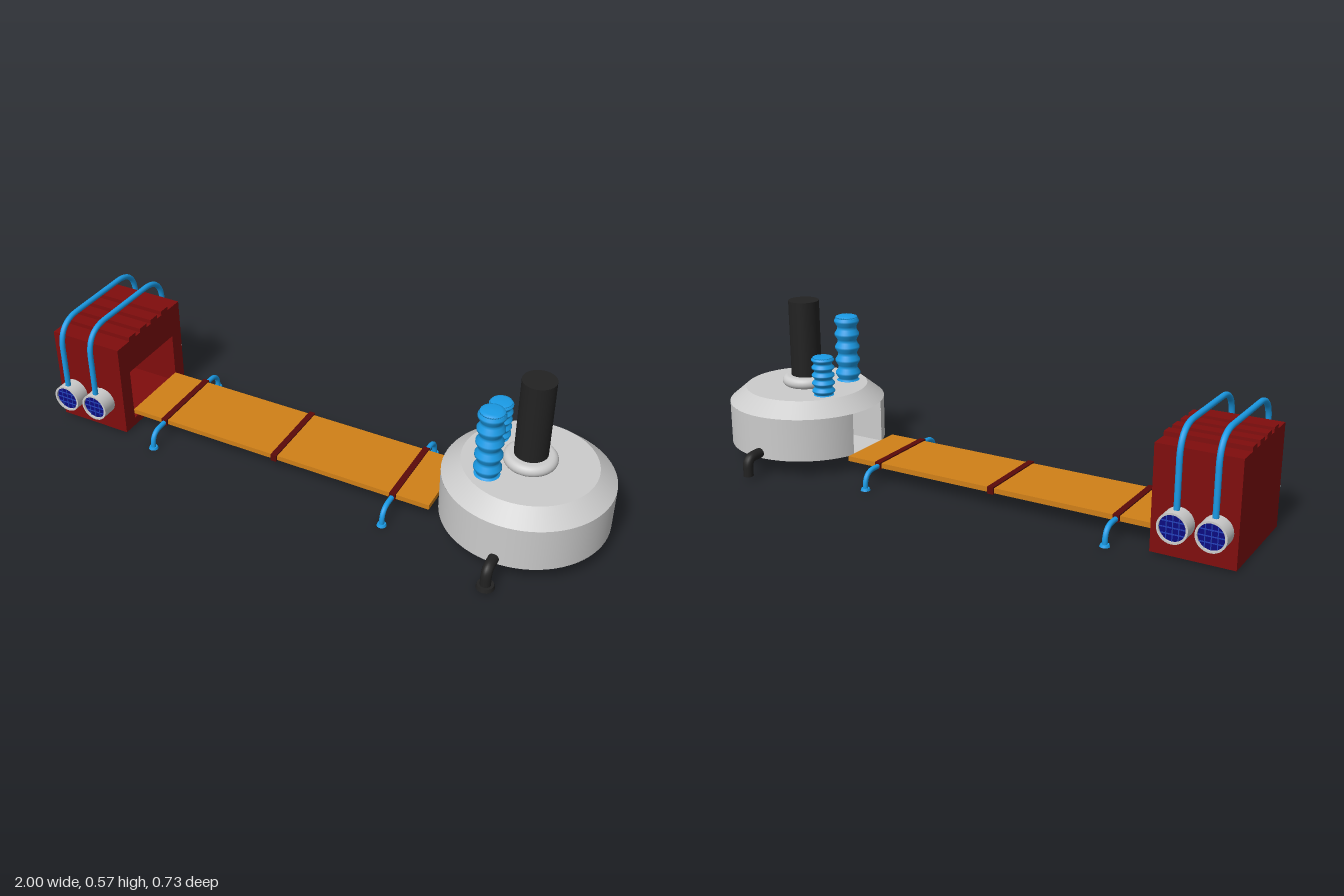
import * as THREE from 'three';

const mat = (color, extra = {}) => new THREE.MeshStandardMaterial({ color, ...extra });
const M = {
  grey: mat(0xcccccc, { side: THREE.DoubleSide }),
  inner: mat(0xcccccc, { side: THREE.BackSide }),
  red: mat(0x7f0d0d), band: mat(0x5a0a0a), orange: mat(0xd08018),
  blue: mat(0x1a9be6), black: mat(0x222222), navy: mat(0x0a0a80), bar: mat(0x2340b8),
};
const v = (x, y, z) => new THREE.Vector3(x, y, z);

export function createModel() {
  const root = new THREE.Group();

  const add = (parent, name, geo, material, x = 0, y = 0, z = 0) => {
    const m = new THREE.Mesh(geo, material);
    m.name = name;
    m.position.set(x, y, z);
    parent.add(m);
    return m;
  };
  const group = (name, parent = root) => {
    const g = new THREE.Group();
    g.name = name;
    parent.add(g);
    return g;
  };
  const box = (w, h, d) => new THREE.BoxGeometry(w, h, d);
  const cyl = (rt, rb, h, n = 32, ...rest) => new THREE.CylinderGeometry(rt, rb, h, n, 1, ...rest);
  const lathe = (pts, n = 40) => new THREE.LatheGeometry(pts.map(p => new THREE.Vector2(...p)), n);
  // Pipe with straight runs and rounded corners
  const pipe = (pts, corner, r, seg = 40) => {
    const path = new THREE.CurvePath();
    let last = pts[0];
    for (let i = 1; i < pts.length - 1; i++) {
      const p = pts[i];
      const a = p.clone().add(pts[i - 1].clone().sub(p).setLength(corner));
      const b = p.clone().add(pts[i + 1].clone().sub(p).setLength(corner));
      path.add(new THREE.LineCurve3(last, a));
      path.add(new THREE.QuadraticBezierCurve3(a, p, b));
      last = b;
    }
    path.add(new THREE.LineCurve3(last, pts[pts.length - 1]));
    return new THREE.TubeGeometry(path, seg, r, 12);
  };

  // Square module: hollow front, solid rear
  const cabin = group('squareModule');
  const face = new THREE.Shape();
  face.moveTo(-0.19, 0.005).lineTo(0.19, 0.005).lineTo(0.19, 0.355).lineTo(-0.19, 0.355).closePath();
  const hole = new THREE.Path();
  hole.moveTo(-0.135, 0.035).lineTo(-0.135, 0.235).lineTo(0.135, 0.235).lineTo(0.135, 0.035).closePath();
  face.holes.push(hole);
  const shell = new THREE.ExtrudeGeometry(face, { depth: 0.2, bevelEnabled: false }).rotateY(Math.PI / 2);
  add(cabin, 'moduleShell', shell, M.red, -0.925);
  add(cabin, 'moduleRear', box(0.075, 0.35, 0.38), M.red, -0.9625, 0.18);
  for (const z of [-0.1, -0.033, 0.033, 0.1])
    add(cabin, 'roofRib', box(0.275, 0.02, 0.04), M.red, -0.8625, 0.36, z);

  // Portholes on both sides, joined by pipes over the roof
  for (const x of [-0.935, -0.815]) {
    for (const s of [1, -1]) {
      const port = group('porthole', cabin);
      port.position.set(x, 0.12, s * 0.185);
      if (s < 0) port.rotation.y = Math.PI;
      add(port, 'portholeRim', lathe([[0.05, 0], [0.05, 0.062], [0.05, 0.062], [0.043, 0.062], [0.043, 0.062], [0.043, 0.04]], 32).rotateX(Math.PI / 2), M.grey);
      add(port, 'portholeGlass', cyl(0.044, 0.044, 0.05).rotateX(Math.PI / 2), M.navy, 0, 0, 0.03);
      for (const o of [-0.02, 0, 0.02]) {
        const len = 2 * Math.sqrt(0.043 ** 2 - o * o);
        add(port, 'portholeBar', box(0.003, len, 0.003), M.bar, o, 0, 0.056);
        add(port, 'portholeBar', box(len, 0.003, 0.003), M.bar, 0, o, 0.056);
      }
    }
    const roofPipe = pipe([v(x, 0.15, 0.228), v(x, 0.425, 0.228), v(x, 0.425, -0.215), v(x, 0.15, -0.215)], 0.1, 0.01, 80);
    add(cabin, 'roofPipe', roofPipe, M.blue);
  }

  // Walkway with bands and curved legs
  const walkway = group('walkway');
  add(walkway, 'deck', box(1.165, 0.018, 0.27), M.orange, -0.1425, 0.064);
  for (const x of [-0.59, -0.14, 0.31])
    add(walkway, 'deckBand', box(0.022, 0.025, 0.286), M.band, x, 0.065);
  for (const x of [-0.59, 0.31])
    for (const s of [1, -1]) {
      const leg = group('deckLeg', walkway);
      add(leg, 'legTube', pipe([v(x, 0.063, s * 0.13), v(x, 0.063, s * 0.217), v(x, 0.004, s * 0.217)], 0.05, 0.009), M.blue);
      add(leg, 'legFoot', cyl(0.014, 0.017, 0.008, 20), M.blue, x, 0.004, s * 0.217);
    }

  // Round module with a doorway facing the walkway
  const drum = group('roundModule');
  drum.position.x = 0.72;
  const gap = 0.308;
  add(drum, 'drumWall', cyl(0.28, 0.28, 0.153, 64, true, Math.PI * 1.5 + gap, Math.PI * 2 - gap * 2), M.grey, 0, 0.1365);
  add(drum, 'drumShoulder', cyl(0.22, 0.28, 0.05, 64, true), M.grey, 0, 0.238);
  add(drum, 'drumRoof', new THREE.CircleGeometry(0.22, 64).rotateX(-Math.PI / 2), M.grey, 0, 0.263);
  add(drum, 'drumFloor', new THREE.CircleGeometry(0.28, 64).rotateX(Math.PI / 2), M.grey, 0, 0.06);
  add(drum, 'doorRecess', box(0.17, 0.15, 0.17), M.inner, -0.182, 0.1365);

  // Chimney and its rounded collar
  add(drum, 'chimney', cyl(0.055, 0.055, 0.315, 40), M.black, 0, 0.4175);
  const collar = [];
  for (let i = 0; i <= 12; i++) {
    const a = -Math.PI / 2 + (i / 12) * Math.PI;
    collar.push([0.068 + 0.02 * Math.cos(a), 0.28 + 0.02 * Math.sin(a)]);
  }
  collar.push([0.05, 0.3]);
  add(drum, 'chimneyCollar', lathe(collar), M.grey);

  // Ribbed stacks: the same profile at two heights
  const ribs = [[0.044, 0]];
  for (let i = 0; i < 5; i++) {
    const y = i * 0.049;
    ribs.push([0.035, y + 0.004], [0.036, y + 0.01], [0.045, y + 0.025], [0.045, y + 0.032], [0.036, y + 0.046]);
  }
  ribs.push([0.041, 0.236], [0.039, 0.241], [0.028, 0.245], [0, 0.246]);
  const ribGeo = lathe(ribs, 32);
  add(drum, 'tallRibbedStack', ribGeo, M.blue, -0.1, 0.262, 0.118);
  add(drum, 'shortRibbedStack', ribGeo, M.blue, -0.138, 0.262, -0.079).scale.set(0.9, 0.58, 0.9);

  // Bent outlet pipes; only the front one has a foot
  const outlet = (name, z, yEnd) => add(drum, name,
    pipe([v(0, 0.079, Math.sign(z) * 0.25), v(0, 0.079, z), v(0, yEnd, z)], 0.035, 0.018), M.black);
  outlet('frontOutlet', 0.336, 0.01);
  outlet('backOutlet', -0.345, 0.014);
  add(drum, 'backOutletEnd', new THREE.CircleGeometry(0.018, 20).rotateX(Math.PI / 2), M.black, 0, 0.014, -0.345);
  add(drum, 'frontOutletFoot', cyl(0.027, 0.03, 0.013, 24), M.black, 0, 0.0115, 0.335);

  return root;
}
